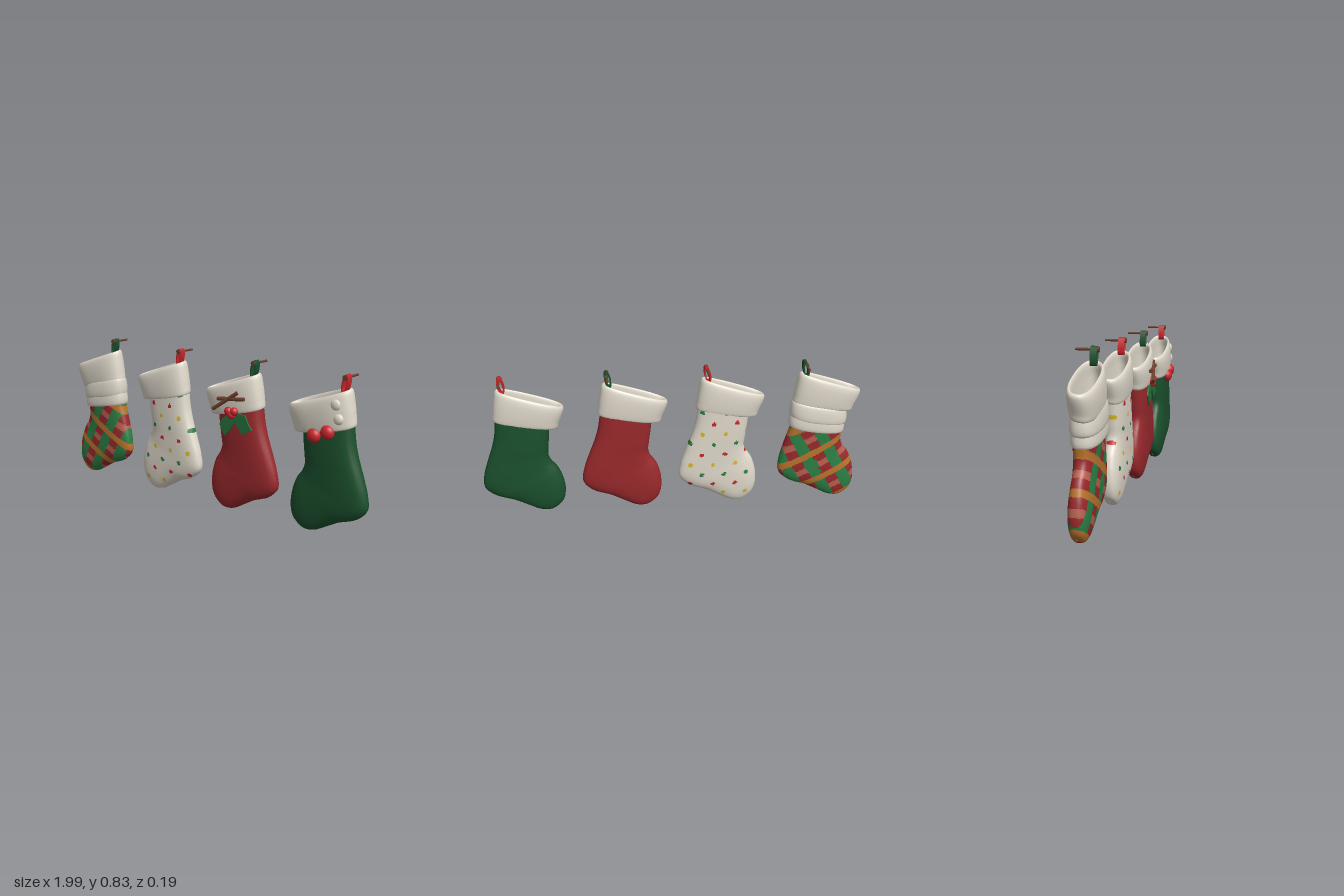
import * as THREE from 'three';

const mat = (name, color) => {
  const m = new THREE.MeshStandardMaterial({ color });
  m.name = name;
  return m;
};
const V = (x, y, z = 0) => new THREE.Vector3(x, y, z);
const ZC = -0.006; // depth of the cuff's centre plane

// Each section is [toeSideX, toeSideY, heelSideX, heelSideY, halfDepth], listed so that the surface faces outward.
function loft(sections, { rings, sides, power = 0.8, tilt = 0, warp = p => p, paint = () => 0, paints = 1 }) {
  const a = new THREE.CatmullRomCurve3(sections.map(s => V(s[0], s[1], s[4])));
  const b = new THREE.CatmullRomCurve3(sections.map(s => V(s[2], s[3], s[4])));
  const bend = v => Math.sign(v) * Math.abs(v) ** power;
  const pos = [], pts = [];
  for (let i = 0; i <= rings; i++) {
    const p = a.getPoint(i / rings), q = b.getPoint(i / rings);
    for (let j = 0; j < sides; j++) {
      const t = (j / sides) * Math.PI * 2;
      const v = p.clone().lerp(q, 0.5 + 0.5 * bend(Math.cos(t)));
      const z = p.z * bend(Math.sin(t));
      v.set(v.x, v.y - tilt * z, z + ZC);
      warp(v);
      pts.push(v);
      pos.push(v.x, v.y, v.z);
    }
  }
  const lists = Array.from({ length: paints }, () => []);
  for (let i = 0; i < rings; i++) for (let j = 0; j < sides; j++) {
    const k = (j + 1) % sides, n = i * sides;
    const c = [n + j, n + k, n + sides + k, n + sides + j];
    const mid = pts[c[0]].clone().add(pts[c[2]]).multiplyScalar(0.5);
    lists[paint(mid.x, mid.y)].push(c[0], c[1], c[3], c[1], c[2], c[3]);
  }
  const g = new THREE.BufferGeometry();
  g.setAttribute('position', new THREE.Float32BufferAttribute(pos, 3));
  g.setIndex(lists.flat());
  let start = 0;
  lists.forEach((l, i) => { g.addGroup(start, l.length, i); start += l.length; });
  g.computeVertexNormals();
  return g;
}

// Leg, heel and foot, fanning round from the cuff to the toe
const SOCK = [
  [0.635, 0.56, 0.9, 0.62, 0.058], [0.642, 0.48, 0.914, 0.51, 0.058],
  [0.648, 0.42, 0.932, 0.44, 0.057], [0.652, 0.365, 0.963, 0.355, 0.055],
  [0.637, 0.326, 0.99, 0.27, 0.054], [0.62, 0.305, 0.995, 0.2, 0.053],
  [0.607, 0.285, 0.945, 0.148, 0.053], [0.595, 0.255, 0.85, 0.11, 0.052],
  [0.583, 0.214, 0.78, 0.072, 0.05], [0.577, 0.146, 0.72, 0.041, 0.043],
  [0.588, 0.094, 0.665, 0.034, 0.028], [0.612, 0.06, 0.618, 0.055, 0.003],
];
// Folded cuff: cavity floor, inner wall, rounded lip, outer wall, hem tucked into the leg
const CUFF = [
  [0.74, 0.57, 0.745, 0.57, 0.002], [0.63, 0.55, 0.88, 0.6, 0.035], [0.605, 0.6, 0.88, 0.68, 0.043],
  [0.58, 0.64, 0.868, 0.74, 0.047], [0.565, 0.648, 0.88, 0.755, 0.054],
  [0.557, 0.635, 0.889, 0.745, 0.063], [0.562, 0.61, 0.897, 0.71, 0.069],
  [0.585, 0.555, 0.91, 0.63, 0.068], [0.597, 0.524, 0.913, 0.585, 0.062],
  [0.66, 0.535, 0.88, 0.588, 0.045],
];
// Extra fur bands under the first cuff
const BANDS = [
  [[0.63, 0.55, 0.905, 0.61, 0.055], [0.62, 0.53, 0.919, 0.59, 0.068], [0.621, 0.455, 0.918, 0.505, 0.07], [0.665, 0.46, 0.88, 0.505, 0.045]],
  [[0.635, 0.5, 0.9, 0.54, 0.055], [0.63, 0.48, 0.917, 0.53, 0.066], [0.628, 0.403, 0.924, 0.452, 0.068], [0.67, 0.41, 0.885, 0.452, 0.045]],
];

// Dot lattice: 0 ground, then 1..3 by row
function dots(x, y) {
  const row = Math.round((0.513 - y) / 0.0615);
  const sx = (x - 0.704 - 0.06 * Math.abs(row % 2)) / 0.12;
  const dx = (sx - Math.round(sx)) * 0.12, dy = 0.513 - y - row * 0.0615;
  const inside = x > 0.615 && x < 0.965 && y > 0.05;
  return inside && Math.hypot(dx, dy) < 0.0115 ? 1 + (((row % 3) + 3) % 3) : 0;
}
// Slanted plaid: 0 green, 1 red, 2 orange, 3 salmon
function plaid(x, y) {
  const c = Math.cos(0.5), s = Math.sin(0.5);
  const fract = v => v - Math.floor(v);
  const p = fract((x * c - y * s) / 0.125), q = fract((x * s + y * c) / 0.165);
  if (q > 0.78) return 2;
  if (p > 0.5) return 0;
  return q < 0.28 || q > 0.5 ? 1 : 3;
}

export function createModel() {
  const cream = mat('cream', 0xe0d9cb), red = mat('deepRed', 0x99292c), green = mat('deepGreen', 0x1b502d);
  const berry = mat('berryRed', 0xc8262b), brown = mat('brown', 0x70402f), plaidGreen = mat('plaidGreen', 0x2b8045);
  const orange = mat('orange', 0xb9742c), salmon = mat('salmon', 0xb9604f), yellow = mat('yellow', 0xdab81f);
  const leafGreen = mat('leafGreen', 0x25723c);
  const root = new THREE.Group();

  const add = (group, name, geometry, material) => {
    const m = new THREE.Mesh(geometry, material);
    m.name = name;
    group.add(m);
    return m;
  };
  const rod = (group, name, a, b, r, material) => {
    const m = add(group, name, new THREE.CylinderGeometry(r, r, a.distanceTo(b), 8), material);
    m.position.copy(a).lerp(b, 0.5);
    m.quaternion.setFromUnitVectors(V(0, 1), b.clone().sub(a).normalize());
  };
  const ball = (group, name, x, y, z, r, flat, material) => {
    const m = add(group, name, new THREE.SphereGeometry(r, 20, 14), material);
    m.position.set(x, y, z);
    m.scale.z = flat;
  };

  // Hanging ribbon: an upright outline with a hole, extruded in depth
  const strap = new THREE.Shape();
  strap.absellipse(0, 0, 0.016, 0.045, 0, Math.PI * 2);
  const hole = new THREE.Path();
  hole.absellipse(0, 0, 0.009, 0.037, 0, Math.PI * 2, true);
  strap.holes.push(hole);
  const strapGeo = new THREE.ExtrudeGeometry(strap, { depth: 0.032, bevelEnabled: false, curveSegments: 12 });

  const specs = [
    { name: 'plaidStocking', x: -1.54, lean: -0.04, drop: 0.037, strap: green, mats: [plaidGreen, red, orange, salmon], paint: plaid },
    { name: 'dottedStocking', x: -1.03, lean: 0.006, drop: 0.022, strap: berry, mats: [cream, berry, yellow, plaidGreen], paint: dots },
    { name: 'redStocking', x: -0.526, lean: 0.018, drop: 0.014, strap: green, mats: [red] },
    { name: 'greenStocking', x: 0, lean: 0, drop: 0, strap: berry, mats: [green] },
  ];
  const groups = specs.map(s => {
    const g = new THREE.Group();
    g.name = s.name;
    g.position.x = s.x;
    root.add(g);
    const fine = s.mats.length > 1;
    const warp = v => {
      const k = (0.6 - v.y) / 0.55;
      v.x += s.lean * k;
      v.y -= s.drop * k;
    };
    const sock = add(g, 'sock', loft(SOCK, {
      rings: fine ? 130 : 44, sides: fine ? 120 : 28, warp, paint: s.paint, paints: s.mats.length,
    }), s.mats);
    sock.position.z = -0.004;
    add(g, 'cuff', loft(CUFF, { rings: 45, sides: 32, tilt: 0.15 }), cream);
    const loop = add(g, 'hangingLoop', strapGeo, s.strap);
    loop.position.set(0.857, 0.777, -0.024);
    loop.rotation.z = -0.2;
    rod(g, 'peg', V(0.862, 0.806, 0.012), V(0.862, 0.806, -0.094), 0.006, brown);
    rod(g, 'pegHead', V(0.862, 0.806, 0.016), V(0.862, 0.806, 0.008), 0.013, brown);
    return g;
  });

  // Layered fur bands
  BANDS.forEach(b => add(groups[0], 'furBand', loft(b, { rings: 15, sides: 32 }), cream));

  // Crossed twigs, leaves and small berries
  const twigs = groups[2];
  rod(twigs, 'twig', V(0.668, 0.563, 0.088), V(0.806, 0.66, 0.06), 0.01, brown);
  rod(twigs, 'twig', V(0.685, 0.615, 0.07), V(0.848, 0.632, 0.062), 0.01, brown);
  const leaves = [
    [[0.762, 0.55], [0.705, 0.515], [0.686, 0.482], [0.702, 0.45], [0.718, 0.425], [0.75, 0.455], [0.79, 0.515]],
    [[0.78, 0.54], [0.796, 0.552], [0.85, 0.55], [0.871, 0.51], [0.895, 0.48], [0.86, 0.465], [0.836, 0.45], [0.79, 0.5]],
  ];
  leaves.forEach(l => {
    const shape = new THREE.Shape(l.map(p => new THREE.Vector2(...p)));
    const leaf = add(twigs, 'leaf', new THREE.ExtrudeGeometry(shape, { depth: 0.008, bevelEnabled: false }), leafGreen);
    leaf.position.z = 0.05;
  });
  [[0.75, 0.559], [0.787, 0.562], [0.769, 0.543]].forEach(([x, y]) => ball(twigs, 'smallBerry', x, y, 0.064, 0.022, 0.9, berry));

  // Large berries and fur buttons
  const last = groups[3];
  ball(last, 'largeBerry', 0.733, 0.525, 0.054, 0.035, 0.8, berry);
  ball(last, 'largeBerry', 0.807, 0.552, 0.054, 0.035, 0.8, berry);
  ball(last, 'button', 0.84, 0.684, 0.048, 0.026, 0.5, cream);
  ball(last, 'button', 0.857, 0.62, 0.046, 0.026, 0.6, cream);

  return root;
}
